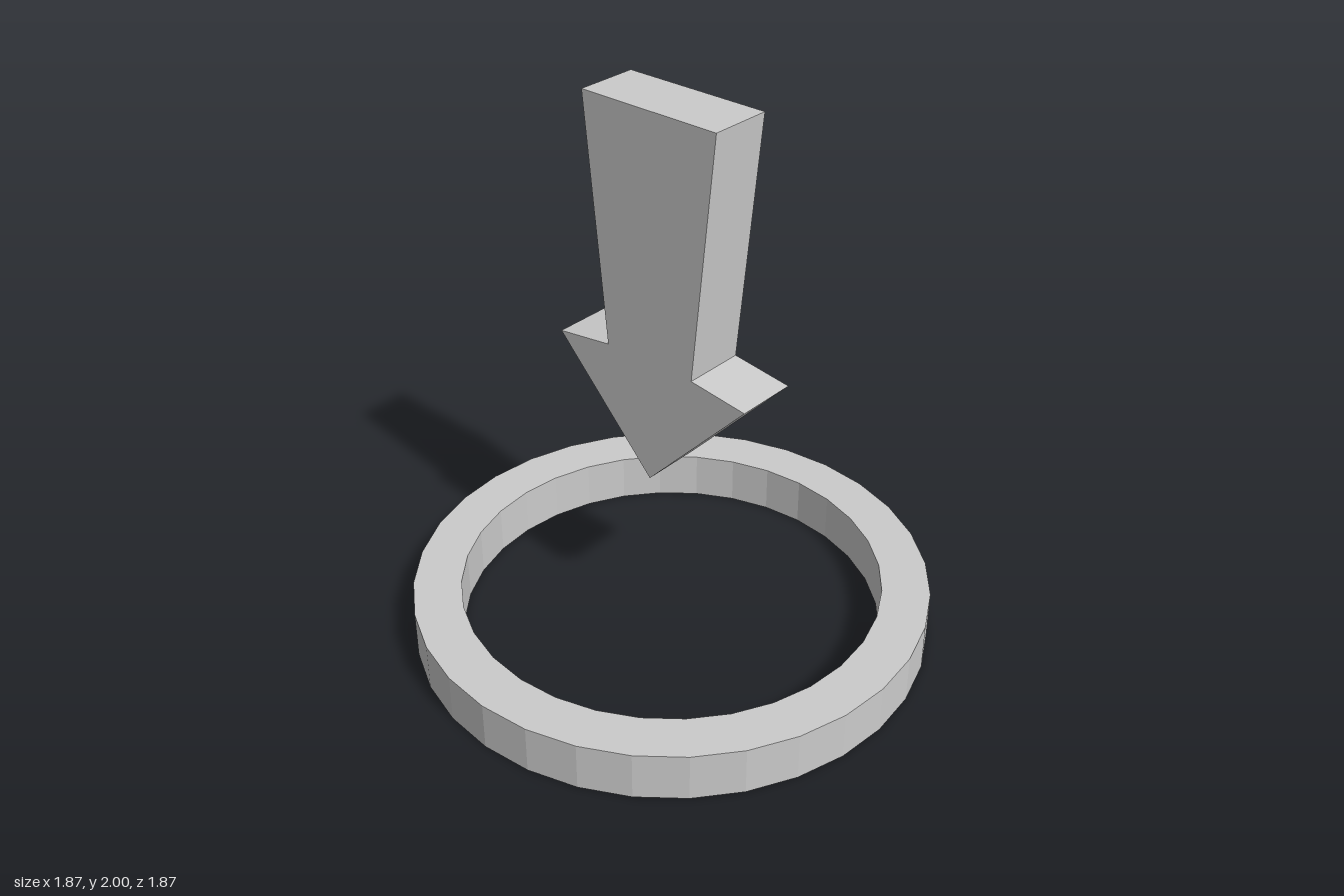
import * as THREE from 'three';

const material = new THREE.MeshStandardMaterial({ color: 0xcccccc, flatShading: true });

// Flat base ring: a rectangular section turned around y
function createRing(outer, inner, height, sides) {
  const section = [[outer, 0], [outer, height], [inner, height], [inner, 0], [outer, 0]]
    .map(([r, y]) => new THREE.Vector2(r, y));
  const ring = new THREE.Mesh(new THREE.LatheGeometry(section, sides), material);
  ring.name = 'baseRing';
  return ring;
}

// Downward arrow: half outline mirrored in x, extruded and centred in z
function createArrow(depth) {
  const tip = [0, 0.658];
  const half = [[0.407, 1.09], [0.184, 1.12], [0.274, 2]];
  const mirrored = half.map(([x, y]) => [-x, y]).reverse();
  const outline = [tip, ...half, ...mirrored].map(([x, y]) => new THREE.Vector2(x, y));
  const geometry = new THREE.ExtrudeGeometry(new THREE.Shape(outline), { depth, bevelEnabled: false });
  geometry.translate(0, 0, -depth / 2);
  const arrow = new THREE.Mesh(geometry, material);
  arrow.name = 'downArrow';
  return arrow;
}

export function createModel() {
  const model = new THREE.Group();
  model.name = 'arrowMarker';
  model.add(createRing(0.935, 0.762, 0.18, 32), createArrow(0.226));
  return model;
}
